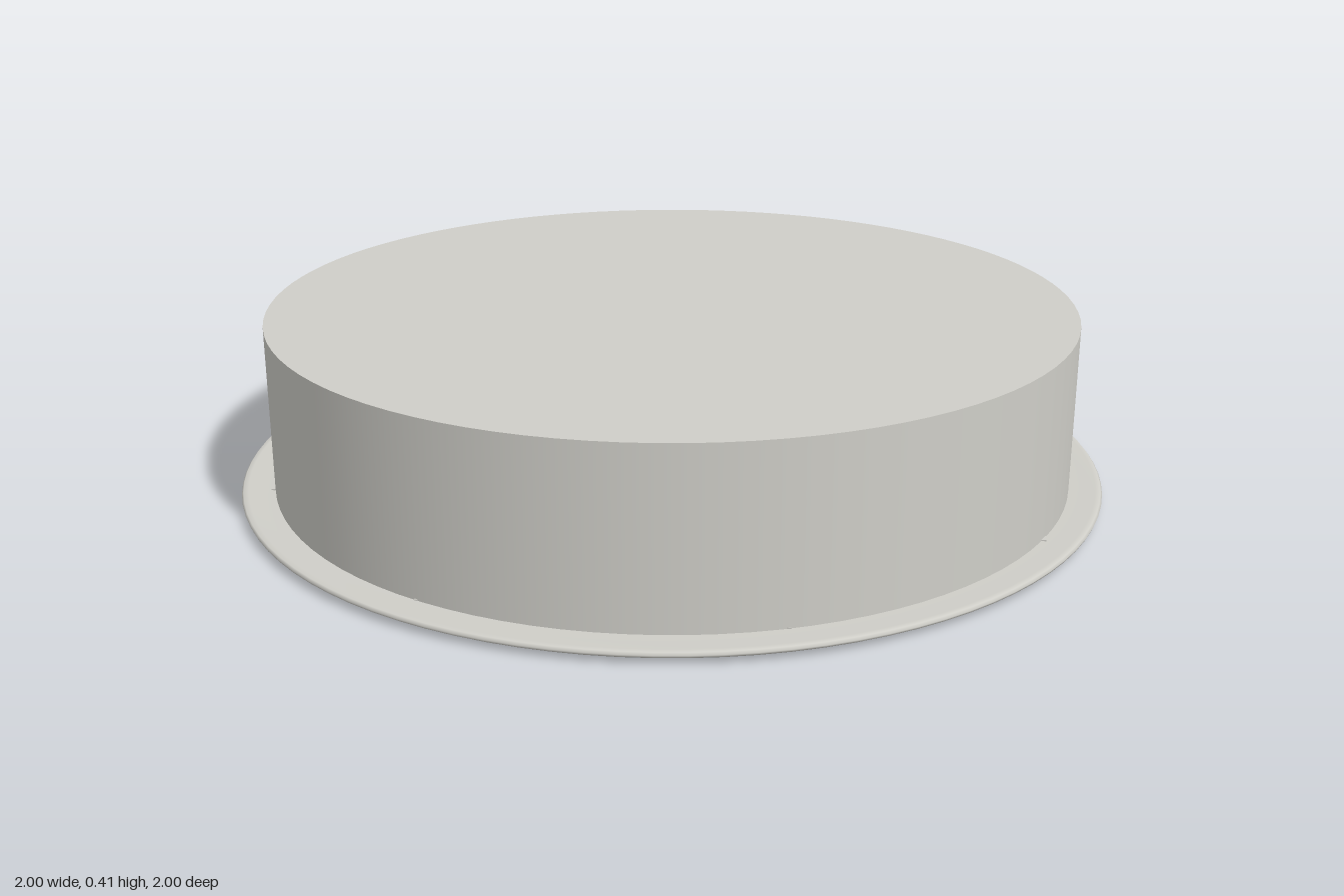
import * as THREE from 'three';

export function createModel() {
  const group = new THREE.Group();
  const paintedMetal = new THREE.MeshStandardMaterial({ color: 0xcfcec8 });
  const SEGMENTS = 96;

  const add = (name, geometry, x = 0, y = 0, z = 0) => {
    const mesh = new THREE.Mesh(geometry, paintedMetal);
    mesh.name = name;
    mesh.position.set(x, y, z);
    group.add(mesh);
    return mesh;
  };

  // Drum-shaped housing with a flat lid
  add('housing', new THREE.CylinderGeometry(0.925, 0.925, 0.39, SEGMENTS), 0, 0.215, 0);

  // Thin trim flange with a softly rounded rim, from inner underside to inner top
  const profile = [
    [0.913, 0.017], [0.918, 0.011], [0.935, 0.007], [0.965, 0.006], [0.988, 0.009],
    [0.998, 0.015], [1.0, 0.02], [0.996, 0.025], [0.985, 0.026], [0.955, 0.024], [0.92, 0.024],
  ].map(([r, y]) => new THREE.Vector2(r, y));
  add('trimFlange', new THREE.LatheGeometry(profile, SEGMENTS));

  // Flat cover plate set slightly inside the flange
  add('coverPlate', new THREE.CylinderGeometry(0.915, 0.915, 0.006, SEGMENTS), 0, 0.018, 0);

  // Eight small retaining clips around the cover, all aligned with x
  const clip = new THREE.BoxGeometry(0.045, 0.027, 0.02);
  for (let i = 0; i < 8; i++) {
    const angle = ((i + 0.5) * Math.PI) / 4;
    add('retainingClip', clip, Math.cos(angle) * 0.91, 0.0135, Math.sin(angle) * 0.91);
  }

  return group;
}
